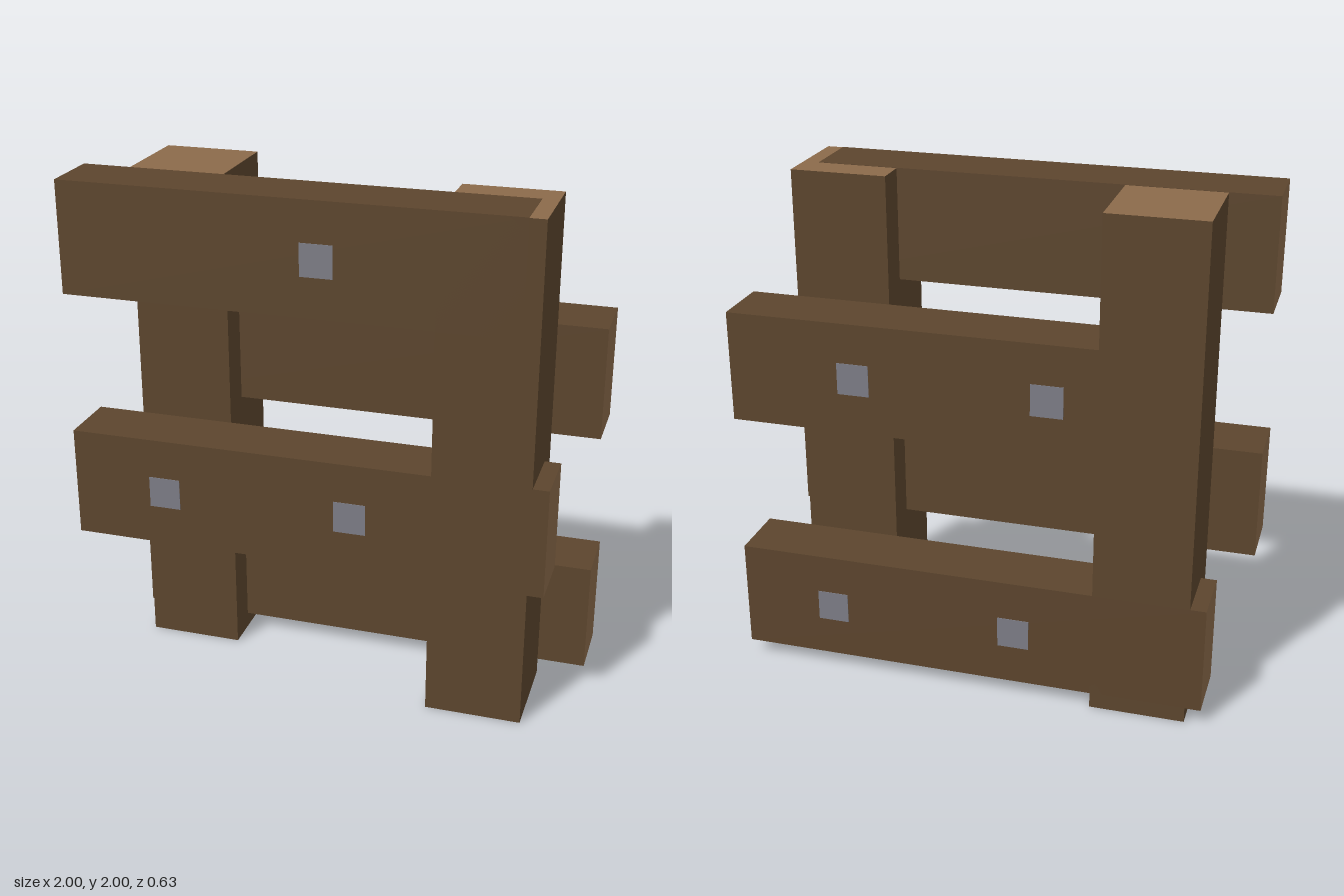
import * as THREE from 'three';

const material = (name, color) => {
  const m = new THREE.MeshStandardMaterial({ color });
  m.name = name;
  return m;
};

export function createModel() {
  const wood = material('dark wood', 0x5c452d);
  const endGrain = material('cut end wood', 0x8b6a4a);
  const iron = material('grey iron', 0x7d7d86);

  const group = new THREE.Group();
  group.name = 'fence';
  const U = 1 / 16; // size of one block unit

  // Box given by its lower and upper corners in block units
  const box = (name, lo, hi, materials) => {
    const size = hi.map((h, i) => (h - lo[i]) * U);
    const mesh = new THREE.Mesh(new THREE.BoxGeometry(...size), materials);
    mesh.position.set(...hi.map((h, i) => ((h + lo[i]) / 2) * U));
    mesh.name = name;
    group.add(mesh);
    return mesh;
  };

  // Upright posts, with pale cut wood at top and bottom
  const postMats = [wood, wood, endGrain, endGrain, wood, wood];
  box('rightPost', [-13, 0, -5], [-7, 32, 1], postMats);
  box('leftPost', [7, 0, -1], [13, 32, 5], postMats);

  // Horizontal planks, with pale cut wood at both ends, and their nail heads
  const plankMats = [endGrain, endGrain, wood, wood, wood, wood];
  const planks = [
    { name: 'frontTopPlank', x: [-16, 12], y: 25, front: true, nails: [0] },
    { name: 'frontMiddlePlank', x: [-16, 14], y: 9, front: true, nails: [-10, 2] },
    { name: 'backUpperPlank', x: [-12, 16], y: 17, front: false, nails: [-4, 8] },
    { name: 'backLowerPlank', x: [-14, 16], y: 1, front: false, nails: [-2, 10] },
  ];
  for (const { name, x, y, front, nails } of planks) {
    const z = front ? [1, 5] : [-5, -1];
    // A hair of extra height keeps the top plank's surface above the post end
    box(name, [x[0], y, z[0]], [x[1], y + 7.02, z[1]], plankMats);
    const face = front ? 5 : -5;
    for (const nx of nails) {
      box(name + 'Nail', [nx - 1, y + 2.5, face - 0.04], [nx + 1, y + 4.5, face + 0.04], iron);
    }
  }
  return group;
}
